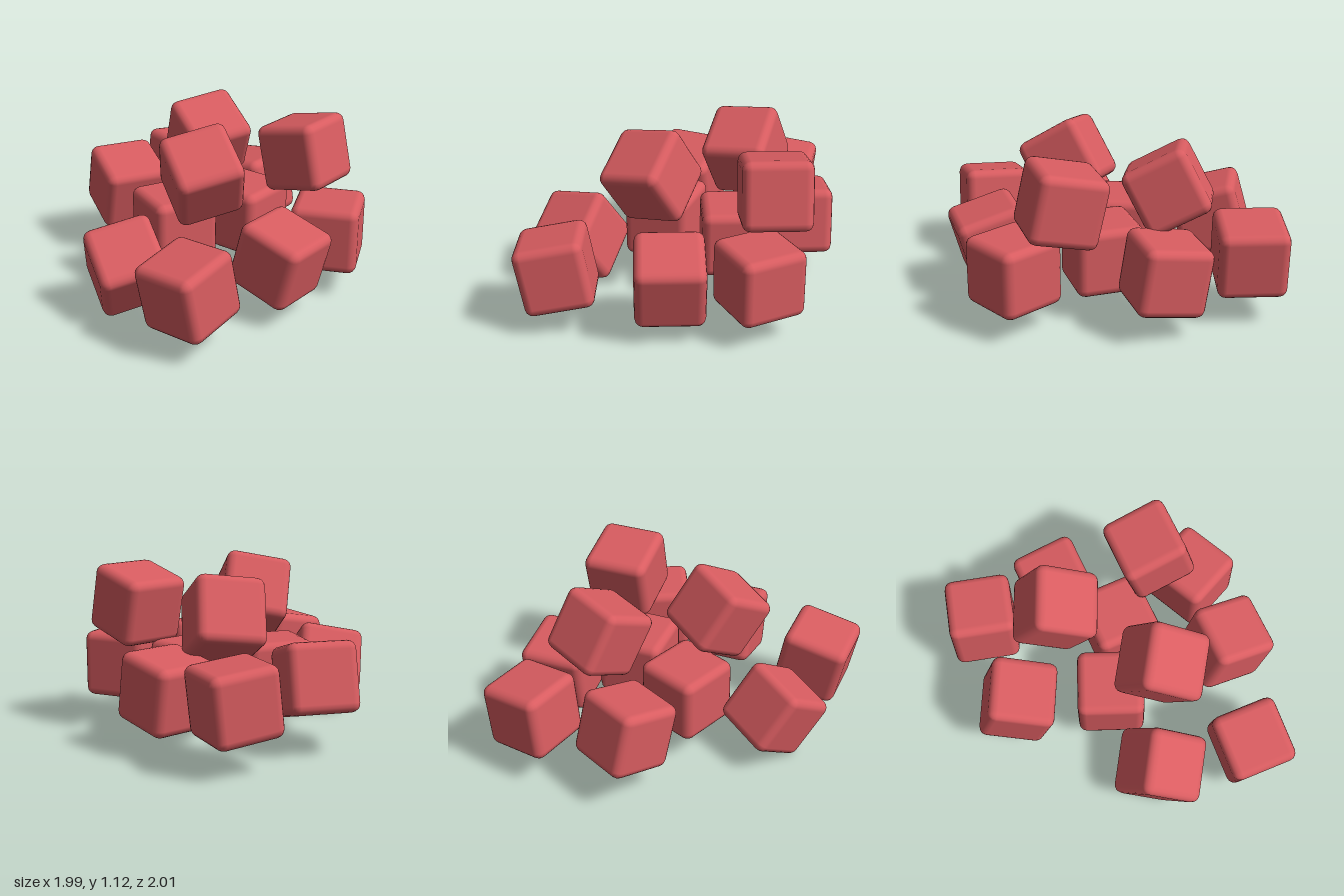
import * as THREE from 'three';
import { RoundedBoxGeometry } from 'three/addons/geometries/RoundedBoxGeometry.js';

// Each cube: centre x, y, z, then yaw, pitch and roll in degrees
const lowerCubes = [
  [-0.695, 0.41, -0.745, -15, -6, 0],
  [-0.13, 0.375, -0.79, 0, 0, 9],
  [0.13, 0.37, -0.36, 0, 0, 0],
  [0.72, 0.37, -0.465, 25, 0, 0],
  [-0.7, 0.437, -0.11, -27, 0, -16],
  [-0.12, 0.37, 0.07, -23, 0, 0],
  [0.73, 0.37, 0.07, 0, 0, -15],
  [-0.025, 0.297, 0.64, -33, 11, -34],
  [0.565, 0.37, 0.755, -2, 11, 3],
];
const upperCubes = [
  [-0.265, 0.785, -0.46, -25, 7, -28.5],
  [0.45, 0.81, -0.575, 0, 0, 13],
  [0.19, 0.81, 0.17, -34, 11, -32],
];

export function createModel() {
  const model = new THREE.Group();
  model.name = 'cubePile';

  const red = new THREE.MeshStandardMaterial({ color: 0xd85c60 });
  red.name = 'softRed';
  const cube = new RoundedBoxGeometry(0.43, 0.43, 0.43, 2, 0.055);

  const addLayer = (name, cubes) => {
    const layer = new THREE.Group();
    layer.name = name;
    cubes.forEach(([x, y, z, ...angles], i) => {
      const [yaw, pitch, roll] = angles.map(THREE.MathUtils.degToRad);
      const mesh = new THREE.Mesh(cube, red);
      mesh.name = `${name}Cube${i + 1}`;
      mesh.position.set(x, y, z);
      mesh.rotation.set(pitch, yaw, roll, 'YXZ');
      layer.add(mesh);
    });
    model.add(layer);
  };

  // Scattered bottom layer with three cubes resting on top
  addLayer('lower', lowerCubes);
  addLayer('upper', upperCubes);
  return model;
}
